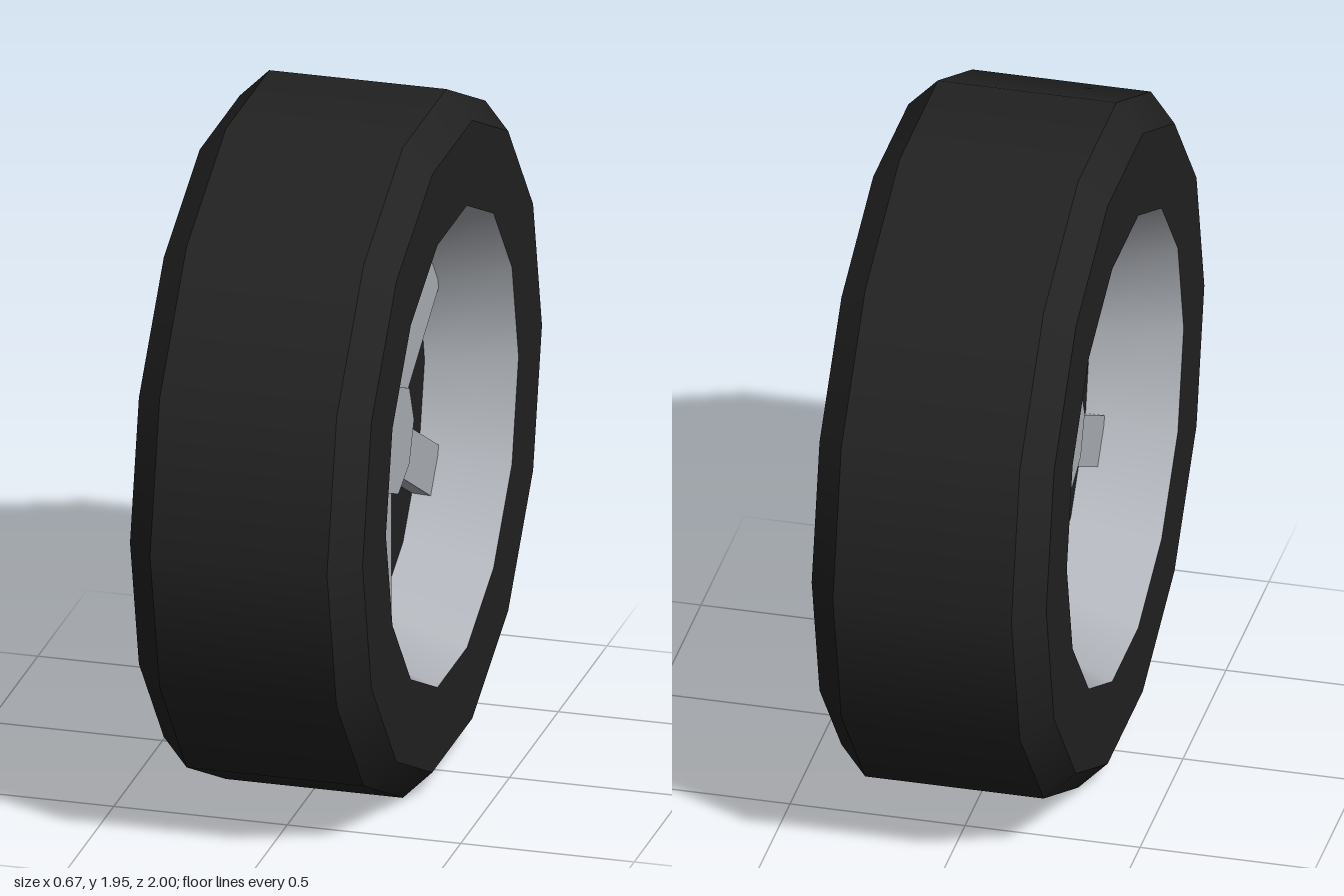
import * as THREE from 'three';

const SIDES = 14;
const CENTRE_Y = Math.cos(Math.PI / SIDES); // wheel rests on a flat facet

export function createModel() {
  const model = new THREE.Group();
  model.name = 'wheel';
  const wheel = new THREE.Group();
  wheel.name = 'wheelAssembly';
  wheel.position.y = CENTRE_Y;
  model.add(wheel);

  const rubber = new THREE.MeshStandardMaterial({ color: 0x222222 });
  rubber.name = 'black rubber';
  const metal = new THREE.MeshStandardMaterial({ color: 0xb0b4ba });
  metal.name = 'silver metal';

  const add = (name, geometry, material) => {
    const mesh = new THREE.Mesh(geometry, material);
    mesh.name = name;
    wheel.add(mesh);
    return mesh;
  };

  // One band per profile step [radius, x]: smooth around, sharp between bands
  const band = (name, from, to, material) => {
    const points = [from, to].map(([r, x]) => new THREE.Vector2(r, x));
    add(name, new THREE.LatheGeometry(points, SIDES).rotateZ(-Math.PI / 2), material);
  };
  const half = [[0, 0.09], [0.588, 0.09], [0.68, 0.335], [0.92, 0.335], [1, 0.255]];
  const parts = ['backingDisc', 'rim', 'sidewall', 'shoulder'];
  const mirror = ([r, x]) => [r, -x];
  parts.forEach((part, i) => {
    const material = part === 'rim' ? metal : rubber;
    band(part + 'Left', half[i + 1], half[i], material);
    band(part + 'Right', mirror(half[i]), mirror(half[i + 1]), material);
  });
  band('tread', [1, -0.255], [1, 0.255], rubber);

  // Six spokes and an octagonal hub cap on each side; spoke ends sink into the rim
  for (const [label, side] of [['Left', 1], ['Right', -1]]) {
    for (let i = 0; i < 6; i++) {
      const spoke = new THREE.BoxGeometry(0.07, 0.64, 0.145);
      spoke.translate(side * 0.105, 0.32, 0).rotateX((i * Math.PI) / 3);
      add('spoke' + label + (i + 1), spoke, metal);
    }
    const hub = new THREE.CylinderGeometry(0.16, 0.16, 0.1, 8).rotateZ(-Math.PI / 2).toNonIndexed();
    hub.computeVertexNormals();
    hub.translate(side * 0.13, 0, 0);
    add('hub' + label, hub, metal);
  }
  return model;
}
